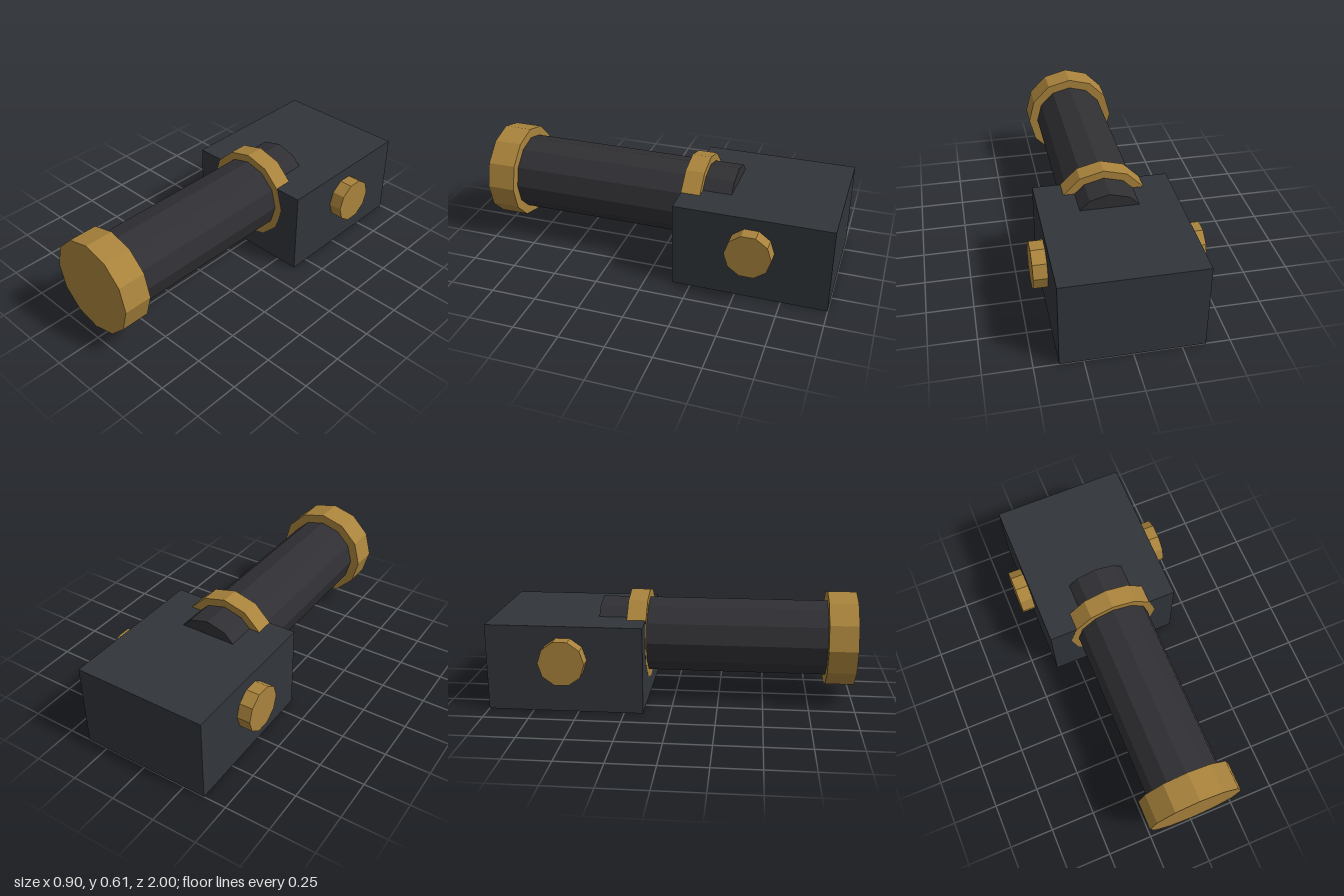
import * as THREE from 'three';

const material = (color) => new THREE.MeshStandardMaterial({ color, flatShading: true });

export function createModel() {
  const model = new THREE.Group();
  const iron = material(0x31353a);
  const steel = material(0x303034);
  const brass = material(0xa9833c);

  const add = (name, geometry, mat, x, y, z) => {
    const mesh = new THREE.Mesh(geometry, mat);
    mesh.name = name;
    mesh.position.set(x, y, z);
    model.add(mesh);
    return mesh;
  };

  // Twelve-sided cylinder lying along z, on the barrel axis
  const axisY = 0.348;
  const alongZ = (name, radius, back, front, mat) => {
    const geometry = new THREE.CylinderGeometry(radius, radius, front - back, 12).rotateX(Math.PI / 2);
    return add(name, geometry, mat, 0, axisY, (back + front) / 2);
  };

  // Rear housing
  add('housing', new THREE.BoxGeometry(0.746, 0.48, 0.853), iron, 0, 0.24, -0.5735);

  // Barrel, its breech band and the muzzle cap
  alongZ('barrel', 0.213, -0.413, 0.92, steel);
  alongZ('breechBand', 0.257, -0.252, -0.146, brass);
  alongZ('muzzleCap', 0.266, 0.842, 1, brass);

  // Ten-sided pivot studs on both sides
  for (const [name, side] of [['leftStud', 1], ['rightStud', -1]]) {
    const geometry = new THREE.CylinderGeometry(0.126, 0.126, 0.15, 10).rotateZ(Math.PI / 2);
    add(name, geometry, brass, side * 0.373, 0.295, -0.574);
  }

  return model;
}
